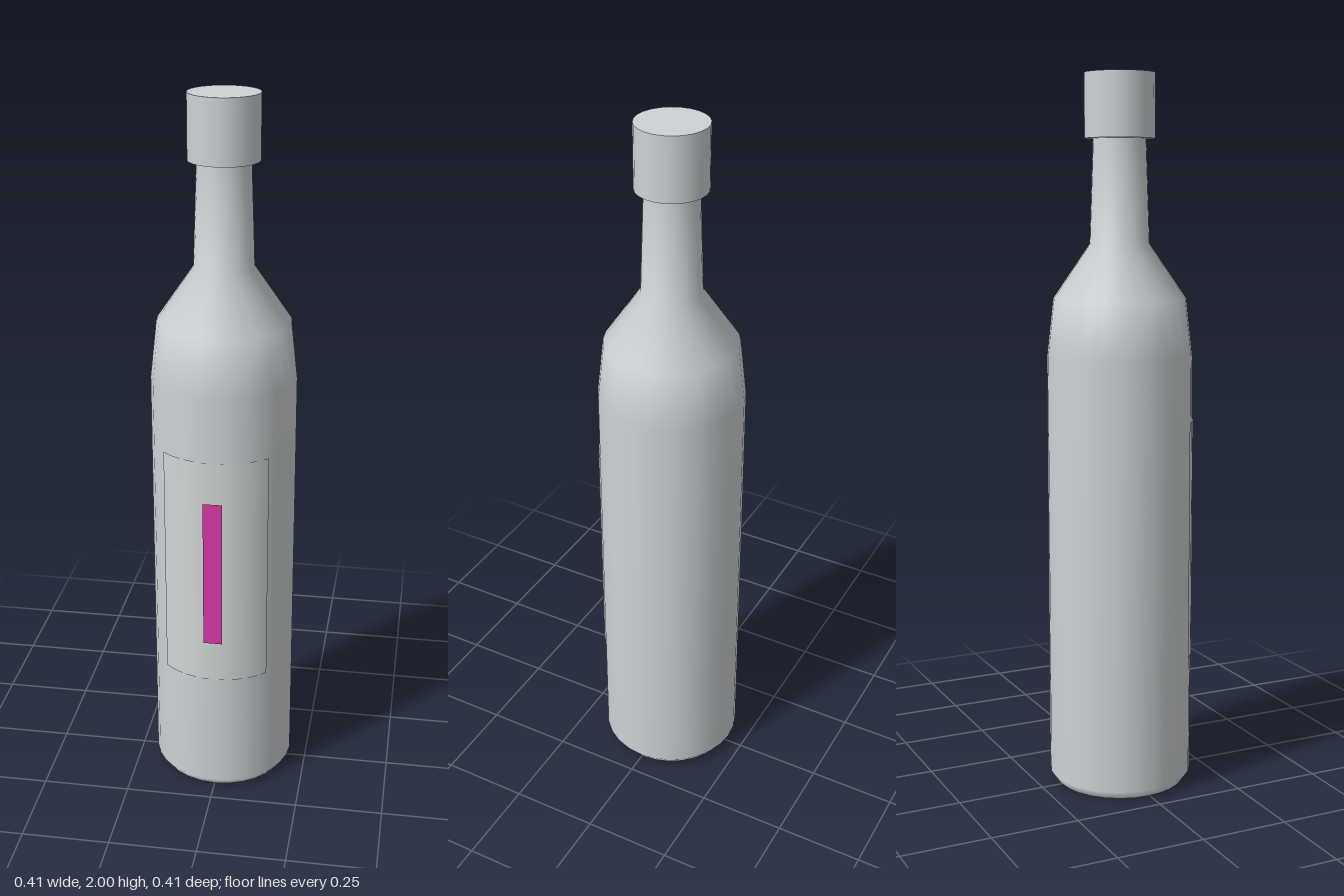
import * as THREE from 'three';

export function createModel() {
  const model = new THREE.Group();
  model.name = 'bottle';

  const material = (name, color, side = THREE.FrontSide) => {
    const m = new THREE.MeshStandardMaterial({ color, side });
    m.name = name;
    return m;
  };
  const glass = material('pale grey', 0xcfd3d6);
  const paper = material('label grey', 0xd2d6d6, THREE.DoubleSide);
  const magenta = material('magenta', 0xd83aa6, THREE.DoubleSide);

  const axisZ = -0.005;
  const add = (name, geometry, mat, y = 0, z = axisZ) => {
    const mesh = new THREE.Mesh(geometry, mat);
    mesh.name = name;
    mesh.position.set(0, y, z);
    model.add(mesh);
    return mesh;
  };

  // Body, shoulder and neck as one smooth turned surface
  const profile = [
    [0.185, 0], [0.203, 0.025], [0.203, 1.23],
    [0.185, 1.39], [0.083, 1.54], [0.073, 1.83],
  ].map(([r, y]) => new THREE.Vector2(r, y));
  add('body', new THREE.LatheGeometry(profile, 28), glass);

  // Flat base
  add('base', new THREE.CircleGeometry(0.185, 28).rotateX(Math.PI / 2), glass);

  // Stopper cap
  add('cap', new THREE.CylinderGeometry(0.0975, 0.0975, 0.175, 24), glass, 1.9125);

  // Curved label wrapped round the front quarter
  const label = new THREE.CylinderGeometry(0.206, 0.206, 0.677, 12, 1, true, -Math.PI / 4, Math.PI / 2);
  add('label', label, paper, 0.711);

  // Upright stripe on the label
  add('labelStripe', new THREE.PlaneGeometry(0.053, 0.435), magenta, 0.713, 0.207);

  return model;
}
